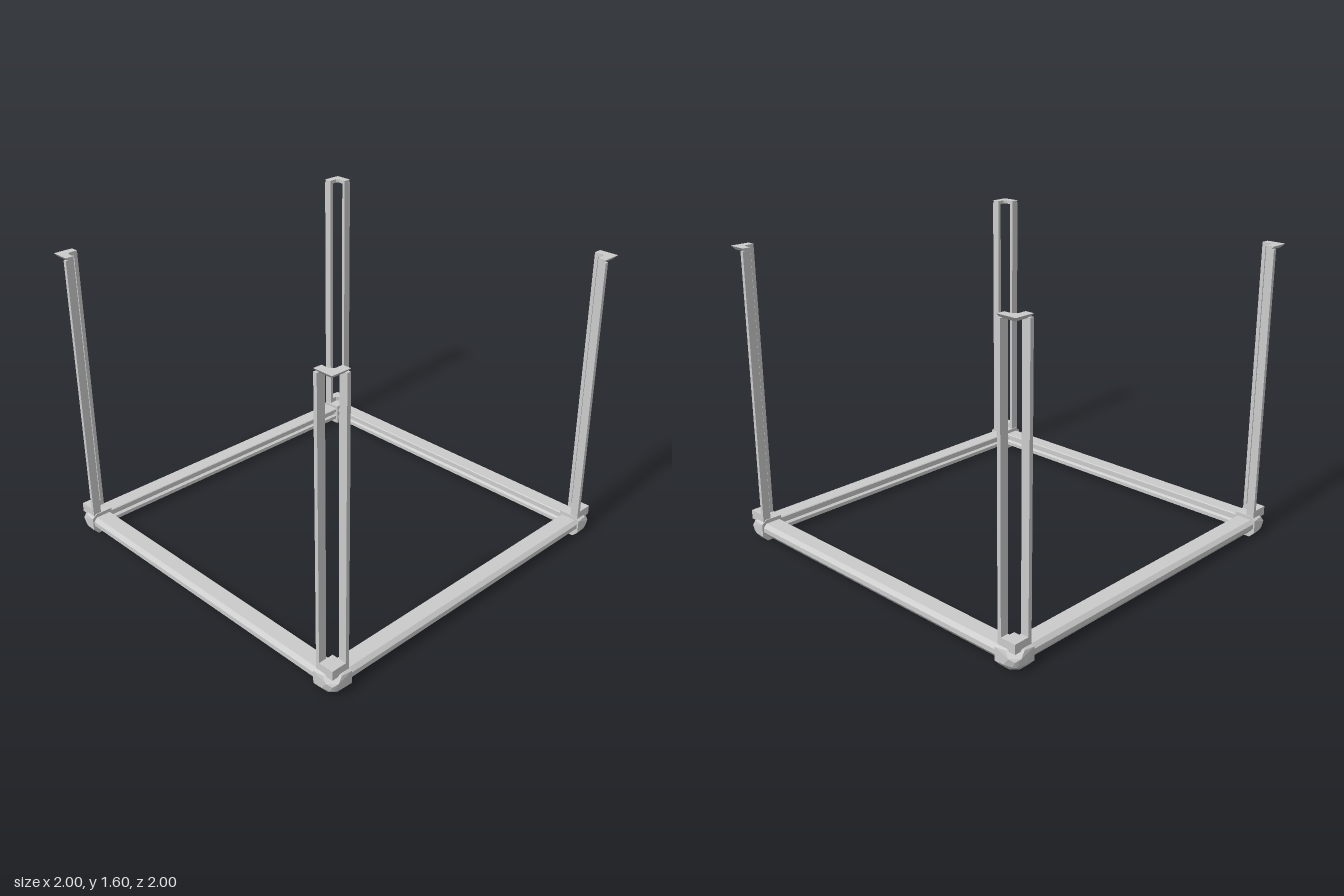
import * as THREE from 'three';
import { ConvexGeometry } from 'three/addons/geometries/ConvexGeometry.js';

const material = new THREE.MeshStandardMaterial({ color: 0xcccccc, flatShading: true });

function addMesh(parent, name, geometry) {
  const mesh = new THREE.Mesh(geometry, material);
  mesh.name = name;
  parent.add(mesh);
  return mesh;
}

function extrude(points, depth) {
  const shape = new THREE.Shape(points.map(([a, b]) => new THREE.Vector2(a, b)));
  return new THREE.ExtrudeGeometry(shape, { depth, bevelEnabled: false });
}

// L-shaped plate in plan, hanging down from y = top, outer walls drawn in at the bottom
function anglePlate(top, height, taper) {
  const geo = extrude([
    [0.88, 0.985], [0.88, 0.94], [0.925, 0.94], [0.94, 0.925],
    [0.94, 0.88], [0.985, 0.88], [0.985, 0.985],
  ], height);
  geo.rotateX(Math.PI / 2).translate(0, top, 0);
  const p = geo.attributes.position;
  for (let i = 0; i < p.count; i++) {
    if (p.getY(i) > top - height / 2) continue;
    if (p.getX(i) > 0.98) p.setX(i, 0.985 - taper);
    if (p.getZ(i) > 0.98) p.setZ(i, 0.985 - taper);
  }
  geo.computeVertexNormals();
  return geo;
}

// Faceted corner block; each point is mirrored across the corner's diagonal
function cornerBlock() {
  const half = [
    [0.875, 0.12, 0.875], [0.97, 0.12, 0.875], [0.955, 0.125, 0.955],
    [0.998, 0.1, 0.875], [0.995, 0.105, 0.935],
    [1.0, 0.075, 0.96], [0.985, 0.06, 0.985], [1.0, 0.035, 0.93],
    [0.998, 0.03, 0.875], [0.97, 0, 0.875], [0.97, 0, 0.94],
    [0.985, 0.03, 0.97], [0.875, 0, 0.875],
  ];
  const points = half.flatMap(([x, y, z]) => [new THREE.Vector3(x, y, z), new THREE.Vector3(z, y, x)]);
  return new ConvexGeometry(points);
}

export function createModel() {
  const model = new THREE.Group();
  model.name = 'cornerPostFrame';

  // Rail section: chamfered outside, shallow groove along the inside
  const railGeo = extrude([
    [0.885, 0.096], [0.885, 0.08], [0.9, 0.072], [0.9, 0.058], [0.885, 0.05], [0.885, 0.03],
    [0.97, 0.03], [0.99, 0.055], [0.99, 0.08], [0.972, 0.1], [0.889, 0.1],
  ], 1.77).translate(0, 0, -0.885);
  const blockGeo = cornerBlock();
  const collarGeo = anglePlate(0.15, 0.05, 0);
  const capGeo = anglePlate(1.6, 0.02, 0.018);
  const rodHeight = 1.485;
  const rodGeo = new THREE.BoxGeometry(0.045, rodHeight, 0.02);

  for (let i = 0; i < 4; i++) {
    const side = new THREE.Group();
    side.name = `side${i + 1}`;
    side.rotation.y = i * Math.PI / 2;
    model.add(side);

    addMesh(side, 'bottomRail', railGeo);
    addMesh(side, 'cornerBlock', blockGeo);

    // Post: two slim rods joined by an angle at foot and head
    const post = new THREE.Group();
    post.name = 'cornerPost';
    side.add(post);
    addMesh(post, 'postCollar', collarGeo);
    addMesh(post, 'postCap', capGeo);
    const y = 0.1 + rodHeight / 2;
    addMesh(post, 'sideRod', rodGeo).position.set(0.9625, y, 0.89);
    const frontRod = addMesh(post, 'frontRod', rodGeo);
    frontRod.position.set(0.89, y, 0.9625);
    frontRod.rotation.y = Math.PI / 2;
  }
  return model;
}
